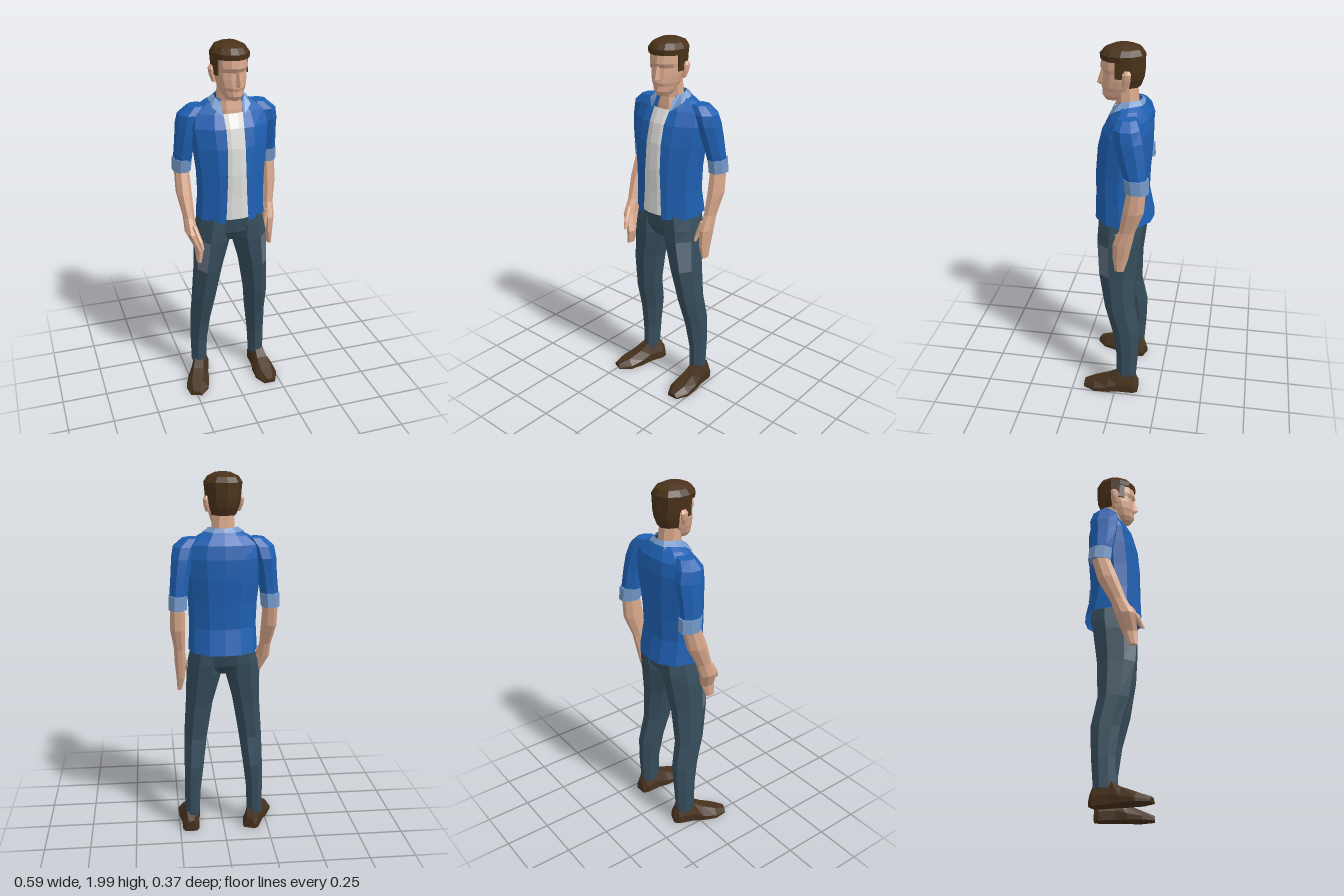
import * as THREE from 'three';

const mat = (name, color, extra = {}) => Object.assign(new THREE.MeshStandardMaterial({ color, ...extra }), { name });
const V = (x, y, z) => new THREE.Vector3(x, y, z);

// Skin a stack of rings (each counter-clockwise about the stacking axis) with flat facets.
// pick(ring, side) chooses a material index for each quad.
function loft(name, rings, material, { closed = true, cap = closed, pick } = {}) {
  const buckets = [[], []];
  const tri = (m, ...pts) => pts.forEach(p => buckets[m].push(p.x, p.y, p.z));
  const n = rings[0].length;
  for (let i = 0; i < rings.length - 1; i++) {
    for (let j = 0; j < (closed ? n : n - 1); j++) {
      const k = (j + 1) % n, m = pick ? pick(i, j) : 0;
      const a = rings[i][j], b = rings[i][k], c = rings[i + 1][k], d = rings[i + 1][j];
      tri(m, a, b, c);
      tri(m, a, c, d);
    }
  }
  if (cap) {
    for (const [ring, up] of [[rings[0], false], [rings[rings.length - 1], true]]) {
      const mid = ring.reduce((s, p) => s.add(p), V(0, 0, 0)).divideScalar(n);
      ring.forEach((p, j) => {
        const q = ring[(j + 1) % n];
        up ? tri(0, mid, p, q) : tri(0, mid, q, p);
      });
    }
  }
  const geo = new THREE.BufferGeometry();
  geo.setAttribute('position', new THREE.Float32BufferAttribute(buckets.flat(), 3));
  geo.computeVertexNormals();
  if (pick) {
    const first = buckets[0].length / 3;
    geo.addGroup(0, first, 0);
    geo.addGroup(first, buckets[1].length / 3, 1);
  }
  const mesh = new THREE.Mesh(geo, material);
  mesh.name = name;
  return mesh;
}

// Eight-sided horizontal ring
const oval = ([x, y, z, rx, rz], side = 1) => Array.from({ length: 8 }, (_, k) => {
  const a = (k + 0.5) * Math.PI / 4;
  return V(side * x + rx * Math.sin(a), y, z + rz * Math.cos(a));
});

// Ring from a half outline of [x share, front-to-back share] points, mirrored across x
function outline(half, y, w, zf, zb) {
  const at = s => ([u, t]) => V(s * u * w, y, zf + (zb - zf) * t);
  return [...half.map(at(1)), ...half.slice(1, -1).reverse().map(at(-1))];
}

// Mirror a +x half of points into an open strip running from front left, round the back, to front right
const wrap = half => [...half, ...half.slice(0, -1).reverse().map(p => V(-p.x, p.y, p.z))];

const BODY = [[0, 0], [0.5, 0.04], [0.93, 0.25], [1, 0.5], [0.86, 0.8], [0.45, 0.97], [0, 1]];
const SKULL = [[0, 0], [0.4, 0.05], [0.82, 0.2], [1, 0.45], [0.95, 0.68], [0.6, 0.92], [0, 1]];

export function createModel() {
  const skin = mat('skin', 0xd9a88c);
  const hair = mat('hair', 0x4a3219, { side: THREE.DoubleSide });
  const blue = mat('shirt blue', 0x1f60b2, { side: THREE.DoubleSide });
  const pale = mat('pale blue trim', 0x7398c8, { side: THREE.DoubleSide });
  const white = mat('undershirt white', 0xdcdddb, { side: THREE.DoubleSide });
  const denim = mat('trousers slate', 0x364d5c);
  const patch = mat('faded patch', 0x616e7f);
  const leather = mat('shoe brown', 0x46311d);

  const model = new THREE.Group();
  model.name = 'standingMan';

  // Open shirt: [y, half width, front z, back z, half gap]
  const shirtRows = [
    [1.065, 0.187, 0.13, -0.182, 0.062], [1.2, 0.18, 0.126, -0.153, 0.055],
    [1.33, 0.185, 0.126, -0.157, 0.05], [1.47, 0.2, 0.115, -0.168, 0.048],
    [1.57, 0.212, 0.09, -0.168, 0.048], [1.64, 0.195, 0.05, -0.155, 0.052],
    [1.685, 0.13, 0.018, -0.125, 0.058], [1.71, 0.078, 0, -0.105, 0.05],
  ];
  model.add(loft('shirt', shirtRows.map(([y, w, zf, zb, gap]) => wrap([
    V(gap, y, zf),
    ...BODY.slice(1).map(([u, t]) => V(Math.max(u * w, u ? gap * 1.1 : 0), y, zf + (zb - zf) * t)),
  ])), blue, { closed: false }));

  // Undershirt panel showing through the gap
  model.add(loft('undershirt', shirtRows.slice(0, 6).map(([y, , zf, , gap], i) => {
    const yy = i ? y : 1.08;
    return [V(-gap - 0.02, yy, zf - 0.02), V(-gap * 0.5, yy, zf - 0.004),
      V(gap * 0.5, yy, zf - 0.004), V(gap + 0.02, yy, zf - 0.02)];
  }), white, { closed: false }));

  // Folded collar
  model.add(loft('collar', [
    wrap([V(0.06, 1.635, 0.06), V(0.104, 1.675, 0.022), V(0.107, 1.703, -0.055), V(0.06, 1.703, -0.118), V(0, 1.703, -0.126)]),
    wrap([V(0.052, 1.69, 0.03), V(0.078, 1.716, -0.01), V(0.074, 1.726, -0.055), V(0.045, 1.724, -0.1), V(0, 1.724, -0.108)]),
  ], pale, { closed: false }));

  // Neck
  model.add(loft('neck', [
    [0, 1.6, -0.035, 0.085, 0.075], [0, 1.655, -0.035, 0.078, 0.07],
    [0, 1.7, -0.035, 0.064, 0.06], [0, 1.81, -0.025, 0.06, 0.06],
  ].map(r => oval(r)), skin));

  // Head, turned slightly to its left
  const head = new THREE.Group();
  head.name = 'head';
  head.rotation.y = 0.13;
  model.add(head);
  const skull = r => outline(SKULL, ...r);
  head.add(loft('face', [
    [1.715, 0.034, 0.08, 0], [1.738, 0.05, 0.096, -0.04], [1.765, 0.061, 0.094, -0.065],
    [1.782, 0.068, 0.1, -0.08], [1.82, 0.077, 0.096, -0.095], [1.858, 0.081, 0.09, -0.105],
    [1.88, 0.083, 0.105, -0.108], [1.925, 0.084, 0.099, -0.11], [1.955, 0.075, 0.085, -0.1],
  ].map(skull), skin));
  head.add(loft('nose', [[1.79, 0.017, 0.11], [1.8, 0.017, 0.122], [1.87, 0.009, 0.1]].map(([y, w, z]) =>
    [V(0, y, z), V(w, y, 0.085), V(-w, y, 0.085)]), skin));

  // Hair: crown, then the temple and nape layers that leave the face and ears clear
  head.add(loft('hairCrown', [
    [1.922, 0.096, 0.104, -0.122], [1.95, 0.099, 0.107, -0.124], [1.978, 0.08, 0.082, -0.106],
    [1.996, 0.042, 0.038, -0.062], [2, 0.015, 0.01, -0.03],
  ].map(skull), hair));
  const shell = (name, from, rows) => head.add(loft(name, rows.map(r => skull(r).slice(from, 13 - from)), hair, { closed: false }));
  shell('hairTemples', 3, [[1.87, 0.091, 0.1, -0.122], [1.922, 0.096, 0.104, -0.122]]);
  shell('hairNape', 4, [[1.785, 0.068, 0.09, -0.1], [1.83, 0.084, 0.098, -0.117], [1.87, 0.091, 0.1, -0.122]]);

  for (const s of [1, -1]) {
    const burn = new THREE.Mesh(new THREE.BoxGeometry(0.008, 0.085, 0.035), hair);
    burn.name = 'sideburn';
    burn.position.set(s * 0.084, 1.882, 0.012);
    burn.rotation.y = s * -0.15;
    head.add(burn);
    // Ear
    head.add(loft('ear', [[0.083, 1.8, -0.018, 0.01, 0.012], [0.092, 1.835, -0.026, 0.012, 0.02],
      [0.096, 1.865, -0.03, 0.012, 0.023], [0.09, 1.882, -0.03, 0.008, 0.014]].map(r => oval(r, s)), skin));
  }

  // Trousers seat
  model.add(loft('trouserSeat', [
    [0.935, 0.06, 0.07, -0.08], [0.99, 0.16, 0.102, -0.13], [1.07, 0.165, 0.113, -0.15], [1.15, 0.16, 0.1, -0.135],
  ].map(r => outline(BODY, ...r)), denim));

  for (const s of [1, -1]) {
    const side = s > 0 ? 'left' : 'right';

    // Leg, with a faded patch on the front outer face of the thigh
    const patchFace = s > 0 ? 0 : 6;
    model.add(loft(side + 'Leg', [
      [0.178, 0.09, -0.06, 0.042, 0.058], [0.175, 0.25, -0.065, 0.047, 0.065],
      [0.165, 0.4, -0.056, 0.056, 0.08], [0.153, 0.56, -0.018, 0.066, 0.086],
      [0.13, 0.76, -0.004, 0.077, 0.108], [0.103, 0.94, -0.01, 0.1, 0.126],
      [0.1, 1, -0.015, 0.092, 0.13], [0.092, 1.08, -0.018, 0.08, 0.128],
    ].map(r => oval(r, s)), [denim, patch], { pick: (i, j) => (i === 4 && j === patchFace ? 1 : 0) }));

    // Shoe, built heel to toe; the right one points outward
    const shoe = loft(side + 'Shoe', [
      [-0.07, 0.032, 0.07], [-0.045, 0.046, 0.118], [0.045, 0.048, 0.125],
      [0.1, 0.06, 0.09], [0.18, 0.064, 0.058], [0.245, 0.032, 0.034],
    ].map(([z, w, h]) => [[1, 0.008], [1, h * 0.45], [0.5, h], [-0.5, h], [-1, h * 0.45], [-1, 0.008]]
      .map(([u, y]) => V(u * w, y, z))), leather);
    shoe.position.set(s > 0 ? 0.188 : -0.17, 0, -0.06);
    shoe.rotation.y = s > 0 ? 0 : -0.36;
    model.add(shoe);

    // Sleeve and rolled cuff; the left elbow sits further back
    const back = s > 0 ? 0 : 0.03;
    model.add(loft(side + 'Sleeve', [
      [0.243, 1.325, -0.12 + back, 0.046, 0.056], [0.238, 1.4, -0.108 + back, 0.05, 0.062],
      [0.228, 1.49, -0.09 + back * 0.6, 0.052, 0.072], [0.214, 1.57, -0.072, 0.062, 0.08],
      [0.2, 1.63, -0.062, 0.065, 0.072], [0.165, 1.672, -0.06, 0.05, 0.05],
    ].map(r => oval(r, s)), blue));
    model.add(loft(side + 'Cuff', [
      [0.245, 1.312, -0.122 + back, 0.051, 0.064], [0.242, 1.385, -0.115 + back, 0.052, 0.066],
    ].map(r => oval(r, s)), pale));

    // Forearm and hand; the right one swings forward
    const lean = s > 0
      ? { mid: -0.103, wrist: -0.07, palm: -0.045, knuckle: -0.035, tip: -0.03, tipX: 0.238 }
      : { mid: -0.045, wrist: 0.01, palm: 0.045, knuckle: 0.07, tip: 0.085, tipX: 0.203 };
    model.add(loft(side + 'Arm', [
      [lean.tipX, 0.838, lean.tip, 0.013, 0.026], [lean.tipX - 0.006, 0.91, lean.knuckle, 0.024, 0.044],
      [0.233, 1.0, lean.palm, 0.033, 0.054], [0.237, 1.08, lean.wrist, 0.031, 0.045],
      [0.247, 1.2, lean.mid, 0.042, 0.058], [0.246, 1.34, -0.12 + back, 0.04, 0.05],
    ].map(r => oval(r, s)), skin));
    model.add(loft(side + 'Thumb', [
      [0.195, 0.935, lean.palm + 0.09 - (s > 0 ? 0.04 : 0), 0.009, 0.011],
      [0.203, 0.975, lean.palm + 0.07 - (s > 0 ? 0.035 : 0), 0.013, 0.017],
      [0.222, 1.045, lean.palm + 0.02, 0.014, 0.02],
    ].map(r => oval(r, s)), skin));
  }

  return model;
}
